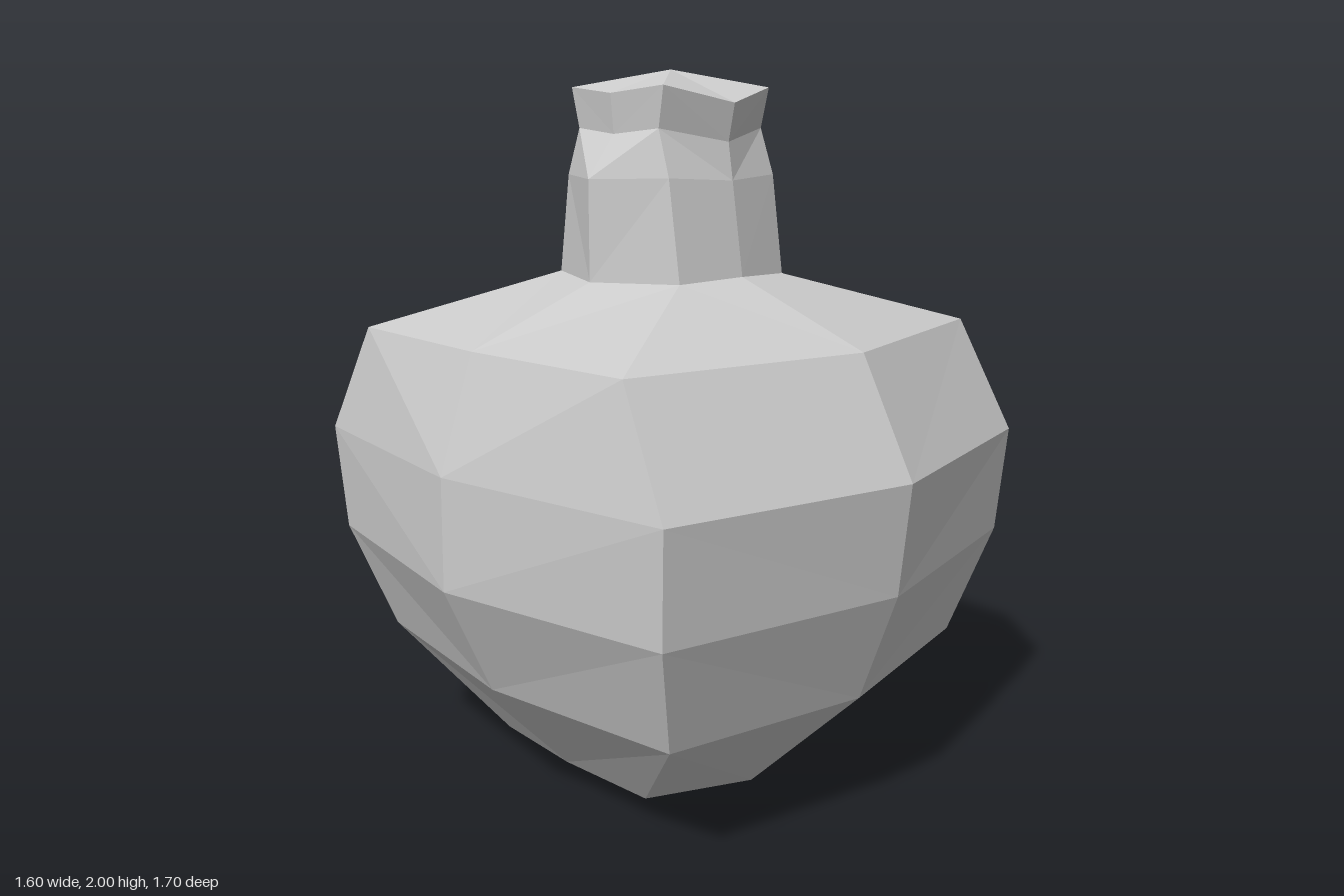
import * as THREE from 'three';

// One eight-sided ring: side points (ex, ey), corners (cx, cy, cz), front/back points (fy, fz)
function ring([ex, ey, cx, cy, cz, fy, fz]) {
  return [
    [ex, ey, 0], [cx, cy, cz], [0, fy, fz], [-cx, cy, cz],
    [-ex, ey, 0], [-cx, cy, -cz], [0, fy, -fz], [cx, cy, -cz],
  ].map((p) => new THREE.Vector3(...p));
}

const point = (y) => [0, y, 0, y, 0, y, 0];

// Skin a stack of rings from bottom to top, with facets
function skin(name, rows, material) {
  const rings = rows.map(ring);
  const pos = [];
  const tri = (a, b, c) => {
    const area = new THREE.Triangle(a, b, c).getArea();
    if (area > 1e-7) for (const p of [a, b, c]) pos.push(p.x, p.y, p.z);
  };
  for (let i = 0; i + 1 < rings.length; i++) {
    for (let j = 0; j < 8; j++) {
      const k = (j + 1) % 8;
      const a = rings[i][j], b = rings[i][k], c = rings[i + 1][k], d = rings[i + 1][j];
      // Diagonals mirror across each corner
      if (j % 2) { tri(a, d, b); tri(b, d, c); }
      else { tri(a, c, b); tri(a, d, c); }
    }
  }
  const geometry = new THREE.BufferGeometry();
  geometry.setAttribute('position', new THREE.Float32BufferAttribute(pos, 3));
  geometry.computeVertexNormals();
  const mesh = new THREE.Mesh(geometry, material);
  mesh.name = name;
  return mesh;
}

export function createModel() {
  const group = new THREE.Group();
  group.name = 'jar';
  const material = new THREE.MeshStandardMaterial({ color: 0xcccccc, flatShading: true });

  const neckBase = [0.3, 1.445, 0.2, 1.45, 0.24, 1.458, 0.275];
  const neckTop = [0.21, 1.83, 0.195, 1.845, 0.157, 1.81, 0.22];

  // Body with ridged underside and sloping shoulder
  group.add(skin('body', [
    point(0),
    [0.41, 0.09, 0.385, 0.085, 0.3, 0.01, 0.335],
    [0.66, 0.39, 0.575, 0.39, 0.59, 0.39, 0.71],
    [0.8, 0.7, 0.675, 0.7, 0.67, 0.7, 0.82],
    [0.795, 1.0, 0.69, 1.0, 0.69, 1.0, 0.85],
    [0.69, 1.305, 0.66, 1.305, 0.528, 1.305, 0.687],
    neckBase,
  ], material));

  // Neck
  group.add(skin('neck', [
    neckBase,
    [0.3, 1.715, 0.2, 1.72, 0.2, 1.71, 0.236],
    neckTop,
  ], material));

  // Flared cap with a low point
  group.add(skin('cap', [
    neckTop,
    [0.22, 1.935, 0.2, 1.953, 0.18, 1.91, 0.241],
    point(2),
  ], material));

  return group;
}
